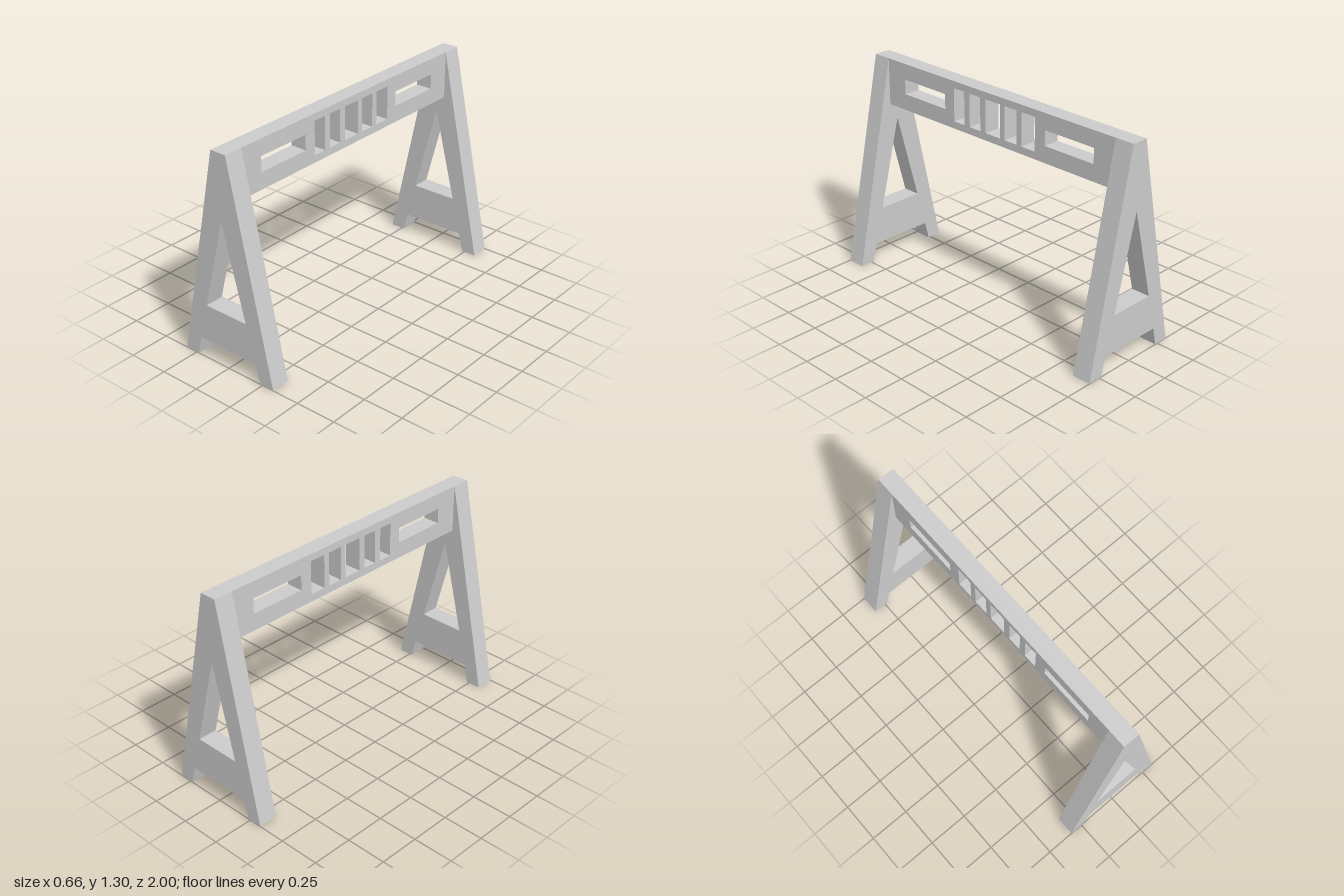
import * as THREE from 'three';

const material = new THREE.MeshStandardMaterial({ color: 0xcccccc, flatShading: true });
const toPoints = (list) => list.map(([x, y]) => new THREE.Vector2(x, y));

// Extruded plate with cut-outs: outline counter-clockwise, holes clockwise
function plate(outline, holes, depth) {
  const shape = new THREE.Shape(toPoints(outline));
  holes.forEach((h) => shape.holes.push(new THREE.Path(toPoints(h))));
  return new THREE.ExtrudeGeometry(shape, { depth, bevelEnabled: false });
}

// Clockwise rectangle
const rect = (x0, x1, y0, y1) => [[x0, y0], [x0, y1], [x1, y1], [x1, y0]];

export function createModel() {
  const model = new THREE.Group();
  const height = 1.303, legDepth = 0.117, inner = 1 - legDepth;

  // A-shaped end frames with notched feet and a triangular opening
  const frame = plate(
    [[-0.328, 0], [-0.235, 0], [-0.207, 0.115], [0.203, 0.115], [0.234, 0],
      [0.328, 0], [0.047, height], [-0.056, height]],
    [[[-0.149, 0.345], [-0.005, 0.907], [0.143, 0.345]]],
    legDepth
  );
  for (const [name, z] of [['frontFrame', inner], ['backFrame', -1]]) {
    const mesh = new THREE.Mesh(frame, material);
    mesh.name = name;
    mesh.position.z = z;
    model.add(mesh);
  }

  // Top beam: a long slot near each end and five upright slots between
  const uprights = [[-0.318, -0.217], [-0.179, -0.088], [-0.051, 0.062], [0.104, 0.19], [0.233, 0.318]];
  const slots = [
    rect(-0.74, -0.393, 1.112, 1.204),
    rect(0.393, 0.74, 1.112, 1.204),
    ...uprights.map(([a, b]) => rect(a, b, 1.056, 1.26)),
  ];
  const outline = rect(-inner, inner, 1.011, height).reverse();
  const beam = new THREE.Mesh(plate(outline, slots, 0.103), material);
  beam.name = 'topBeam';
  beam.rotation.y = -Math.PI / 2;
  beam.position.x = 0.047;
  model.add(beam);

  return model;
}
